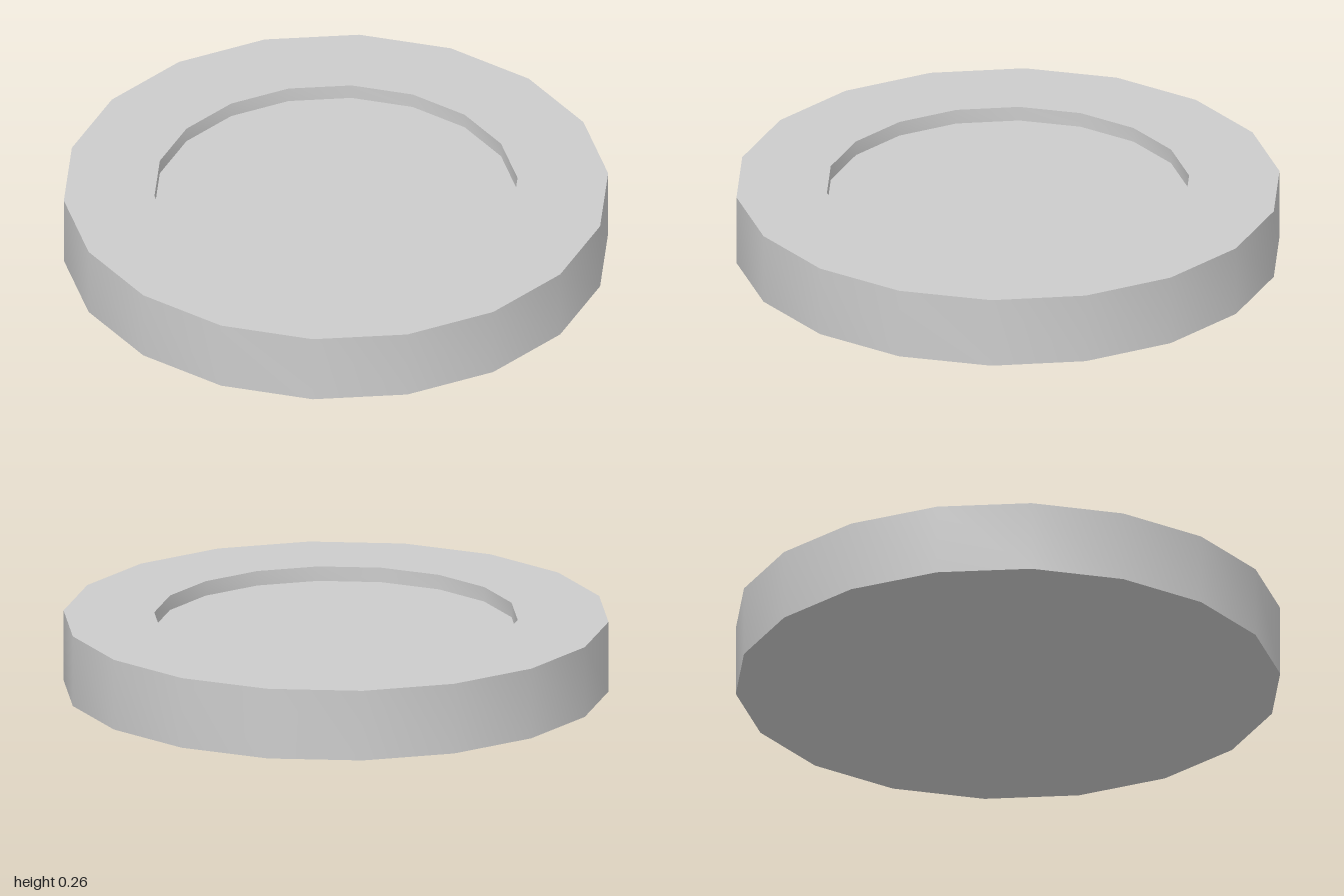
import * as THREE from 'three';
import { toCreasedNormals } from 'three/addons/utils/BufferGeometryUtils.js';

const SIDES = 18, OUTER = 1, INNER = 0.667, HEIGHT = 0.265, FLOOR = 0.21;

export function createModel() {
  const group = new THREE.Group();
  group.name = 'shallowDish';
  const material = new THREE.MeshStandardMaterial({ color: 0xcccccc });

  const add = (name, geometry) => {
    const mesh = new THREE.Mesh(geometry, material);
    mesh.name = name;
    group.add(mesh);
    return mesh;
  };

  // Outer wall, flat top rim and recess wall
  const profile = [[OUTER, 0], [OUTER, HEIGHT], [INNER, HEIGHT], [INNER, FLOOR]]
    .map(([r, y]) => new THREE.Vector2(r, y));
  const rim = new THREE.LatheGeometry(profile, SIDES, Math.PI / 2);
  add('rim', toCreasedNormals(rim, Math.PI / 6));

  // Recessed floor
  const floor = add('recessFloor', new THREE.CircleGeometry(INNER, SIDES));
  floor.rotation.x = -Math.PI / 2;
  floor.position.y = FLOOR;

  // Flat underside
  const underside = add('underside', new THREE.CircleGeometry(OUTER, SIDES));
  underside.rotation.x = Math.PI / 2;

  return group;
}
